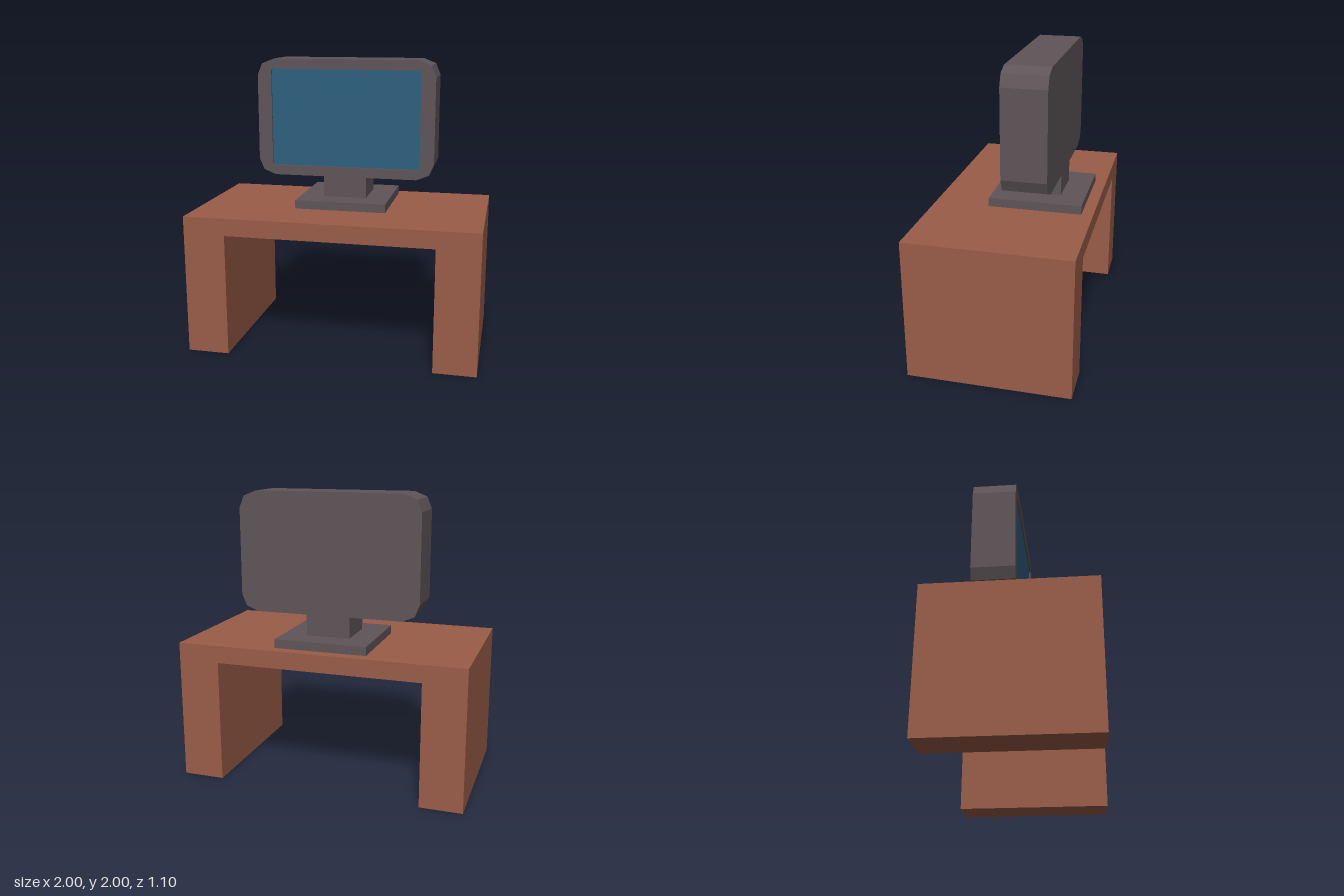
import * as THREE from 'three';

const mat = (name, color) => Object.assign(new THREE.MeshStandardMaterial({ color }), { name });

// Rectangle outline with corners cut by a list of [inset x, inset y] points
function outline(Type, w, y0, y1, cuts) {
  const back = [...cuts].reverse();
  const pts = [
    ...cuts.map(([a, b]) => [w - a, y0 + b]),
    ...back.map(([a, b]) => [w - a, y1 - b]),
    ...cuts.map(([a, b]) => [-w + a, y1 - b]),
    ...back.map(([a, b]) => [-w + a, y0 + b]),
  ];
  return new Type(pts.map(([x, y]) => new THREE.Vector2(x, y)));
}

export function createModel() {
  const model = new THREE.Group();
  model.name = 'deskWithMonitor';
  const wood = mat('wood', 0x9a5c48);
  const plastic = mat('greyPlastic', 0x5f5559);
  const glass = mat('blueScreen', 0x2e607e);

  const add = (parent, name, geometry, material, x = 0, y = 0, z = 0) => {
    const mesh = new THREE.Mesh(geometry, material);
    mesh.name = name;
    mesh.position.set(x, y, z);
    parent.add(mesh);
    return mesh;
  };
  const extrude = (shape, depth) => new THREE.ExtrudeGeometry(shape, { depth, bevelEnabled: false });

  // Desk: one arch profile with two thick side panels
  const arch = new THREE.Shape([
    [-1, 0], [-0.71, 0], [-0.71, 0.85], [0.71, 0.85], [0.71, 0], [1, 0], [1, 0.97], [-1, 0.97],
  ].map(([x, y]) => new THREE.Vector2(x, y)));
  add(model, 'desk', extrude(arch, 1.1), wood, 0, 0, -0.55);

  const monitor = new THREE.Group();
  monitor.name = 'monitor';
  model.add(monitor);

  // Stand
  add(monitor, 'standBase', new THREE.BoxGeometry(0.64, 0.06, 0.64), plastic, 0, 1.0, -0.15);
  add(monitor, 'standNeck', new THREE.BoxGeometry(0.305, 0.145, 0.3), plastic, 0, 1.1025, -0.15);

  // Casing with a shallow recess for the screen
  const recess = 0.015;
  const corner = [[0.12, 0], [0.033, 0.035], [0, 0.115]];
  const screenCorner = [[0.012, 0], [0, 0.012]];
  const casing = () => outline(THREE.Shape, 0.63, 1.175, 2, corner);
  add(monitor, 'casing', extrude(casing(), 0.3 - recess), plastic, 0, 0, -0.3);
  const frame = casing();
  frame.holes.push(outline(THREE.Path, 0.53, 1.245, 1.93, screenCorner));
  add(monitor, 'screenFrame', extrude(frame, recess), plastic, 0, 0, -recess);

  // Screen
  const screen = new THREE.ShapeGeometry(outline(THREE.Shape, 0.53, 1.245, 1.93, screenCorner));
  add(monitor, 'screen', screen, glass, 0, 0, -recess + 0.002);

  return model;
}
